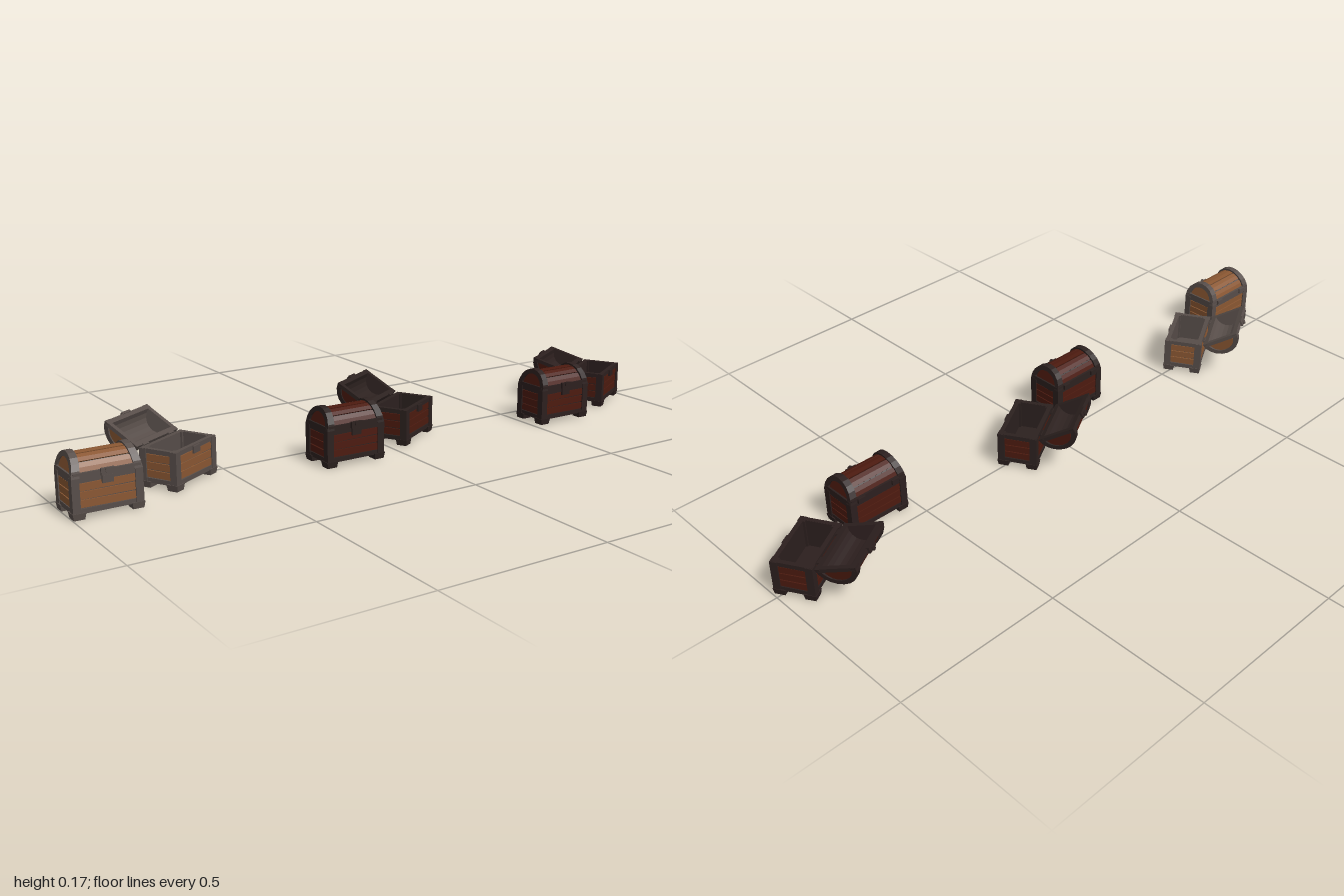
import * as THREE from 'three';

const W = 0.19, D = 0.118, H = 0.108; // chest width, depth and body height

function mesh(name, geometry, material) {
  const m = new THREE.Mesh(geometry, material);
  m.name = name;
  return m;
}

function box(name, parent, material, size, pos) {
  const m = mesh(name, new THREE.BoxGeometry(...size), material);
  m.position.set(...pos);
  parent.add(m);
  return m;
}

// Ring sector running along x (angles measured over the dome), centred on x
function arch(outer, inner, length, x = 0, a0 = 0, a1 = Math.PI, steps = 10) {
  const pts = [];
  const at = (r, i) => {
    const a = a0 + (a1 - a0) * i / steps;
    return new THREE.Vector2(Math.cos(a) * r, Math.sin(a) * r);
  };
  for (let i = 0; i <= steps; i++) pts.push(at(outer, i));
  if (inner > 0) for (let i = steps; i >= 0; i--) pts.push(at(inner, i));
  const g = new THREE.ExtrudeGeometry(new THREE.Shape(pts), { depth: length, bevelEnabled: false });
  g.translate(0, 0, -length / 2).rotateY(Math.PI / 2).translate(x, 0, 0);
  return g;
}

// The ends of the lid lean inwards towards the top
function lean(g) {
  const p = g.attributes.position;
  for (let i = 0; i < p.count; i++) p.setX(i, p.getX(i) * (1 - 2 * Math.max(0, p.getY(i))));
  g.computeVertexNormals();
  return g;
}

function makeBody(wood, frame) {
  const body = new THREE.Group();
  body.name = 'body';
  const w = W - 0.014, d = D - 0.014, t = 0.008, bottom = 0.014;
  const wallH = H - bottom, midY = bottom + wallH / 2;

  // Hollow core
  box('floor', body, frame, [w, t, d], [0, bottom + t / 2, 0]);
  for (const s of [-1, 1]) {
    box('longWall', body, frame, [w, wallH, t], [0, midY, s * (d - t) / 2]);
    box('endWall', body, frame, [t, wallH, d], [s * (w - t) / 2, midY, 0]);

    // Rails at top and bottom
    for (const y of [bottom + 0.007, H - 0.006]) {
      box('longRail', body, frame, [W - 0.01, 0.013, 0.012], [0, y, s * (D / 2 - 0.008)]);
      box('endRail', body, frame, [0.012, 0.013, D - 0.01], [s * (W / 2 - 0.008), y, 0]);
    }
    // Three planks on every side, slightly uneven
    for (let i = 0; i < 3; i++) {
      const y = 0.039 + i * 0.0225, tilt = (i - 1) * 0.012 * s;
      box('longPlank', body, wood, [W - 0.038, 0.0195, 0.006], [0, y, s * (d / 2 + 0.001)]).rotation.z = tilt;
      box('endPlank', body, wood, [0.006, 0.0195, D - 0.038], [s * (w / 2 + 0.001), y, 0]).rotation.x = tilt;
    }
    // Corner posts and tapered feet
    for (const e of [-1, 1]) {
      box('cornerPost', body, frame, [0.021, wallH, 0.021], [s * (W / 2 - 0.0105), midY, e * (D / 2 - 0.0105)]);
      const foot = mesh('foot', new THREE.CylinderGeometry(0.025, 0.021, 0.018, 4).rotateY(Math.PI / 4), frame);
      foot.position.set(s * (W / 2 - 0.016), 0.009, e * (D / 2 - 0.016));
      body.add(foot);
    }
  }
  // Lock plate on the front
  box('lockPlate', body, frame, [0.03, 0.02, 0.006], [0, H - 0.012, D / 2]);
  return body;
}

function makeLid(wood, frame) {
  const lid = new THREE.Group();
  lid.name = 'lid';
  const add = (name, g, m) => lid.add(mesh(name, lean(g), m));
  const R = D / 2;

  // Curved shell with wooden staves
  add('lidShell', arch(R - 0.01, R - 0.016, W - 0.016), frame);
  const staves = 5, first = 0.2, span = (Math.PI - 2 * first) / staves;
  for (let i = 0; i < staves; i++) {
    const a = first + i * span;
    add('stave', arch(R - 0.006, R - 0.011, W - 0.042, 0, a + 0.035, a + span - 0.035, 2), wood);
  }
  for (const s of [-1, 1]) {
    // End bands, end walls and wooden end panels
    add('endBand', arch(R, R - 0.014, 0.022, s * (W / 2 - 0.011)), frame);
    add('endWall', arch(R - 0.012, 0, 0.007, s * (W / 2 - 0.011)), frame);
    const panel = arch(R - 0.019, 0, 0.004, s * (W / 2 - 0.006)).translate(0, 0.006, 0);
    add('endPanel', panel, wood);
    // Rim rails and hinges
    box('longRim', lid, frame, [W - 0.01, 0.013, 0.01], [0, 0.0065, s * (R - 0.006)]);
    box('endRim', lid, frame, [0.011, 0.011, D - 0.012], [s * (W / 2 - 0.0065), 0.0055, 0]);
    box('hinge', lid, frame, [0.024, 0.014, 0.007], [s * 0.058, 0.005, -R - 0.001]);
  }
  // Clasp
  box('clasp', lid, frame, [0.036, 0.018, 0.008], [0, 0.008, R + 0.001]);
  const knob = mesh('claspKnob', new THREE.CylinderGeometry(0.008, 0.008, 0.006, 8).rotateX(Math.PI / 2), frame);
  knob.position.set(0, 0.012, R + 0.006);
  lid.add(knob);
  return lid;
}

function makeChest(name, wood, frame, openDegrees) {
  const chest = new THREE.Group();
  chest.name = name;
  const hinge = new THREE.Group();
  hinge.name = 'lidHinge';
  const back = D / 2 + 0.003;
  const lid = makeLid(wood, frame);
  lid.position.z = back;
  hinge.add(lid);
  hinge.position.set(0, H, -back);
  hinge.rotation.x = -THREE.MathUtils.degToRad(openDegrees);
  chest.add(makeBody(wood, frame), hinge);
  return chest;
}

export function createModel() {
  const model = new THREE.Group();
  model.name = 'treasureChests';
  const paint = (color) => new THREE.MeshStandardMaterial({ color, flatShading: true });
  // Each pair: centre of the closed chest, colours and lid angle of the open one
  const pairs = [
    { x: -0.904, wood: 0x8a5732, frame: 0x574d49, open: 150 },
    { x: -0.165, wood: 0x4c1a0f, frame: 0x2c211f, open: 150 },
    { x: 0.62, wood: 0x4c1a0f, frame: 0x2c1f1e, open: 164 },
  ];
  for (const p of pairs) {
    const wood = paint(p.wood), frame = paint(p.frame);
    const closed = makeChest('closedChest', wood, frame, 0);
    closed.position.set(p.x, 0, 0.109);
    const open = makeChest('openChest', wood, frame, p.open);
    open.position.set(p.x + 0.264, 0, 0.015);
    open.rotation.y = Math.PI / 6;
    model.add(closed, open);
  }
  return model;
}
